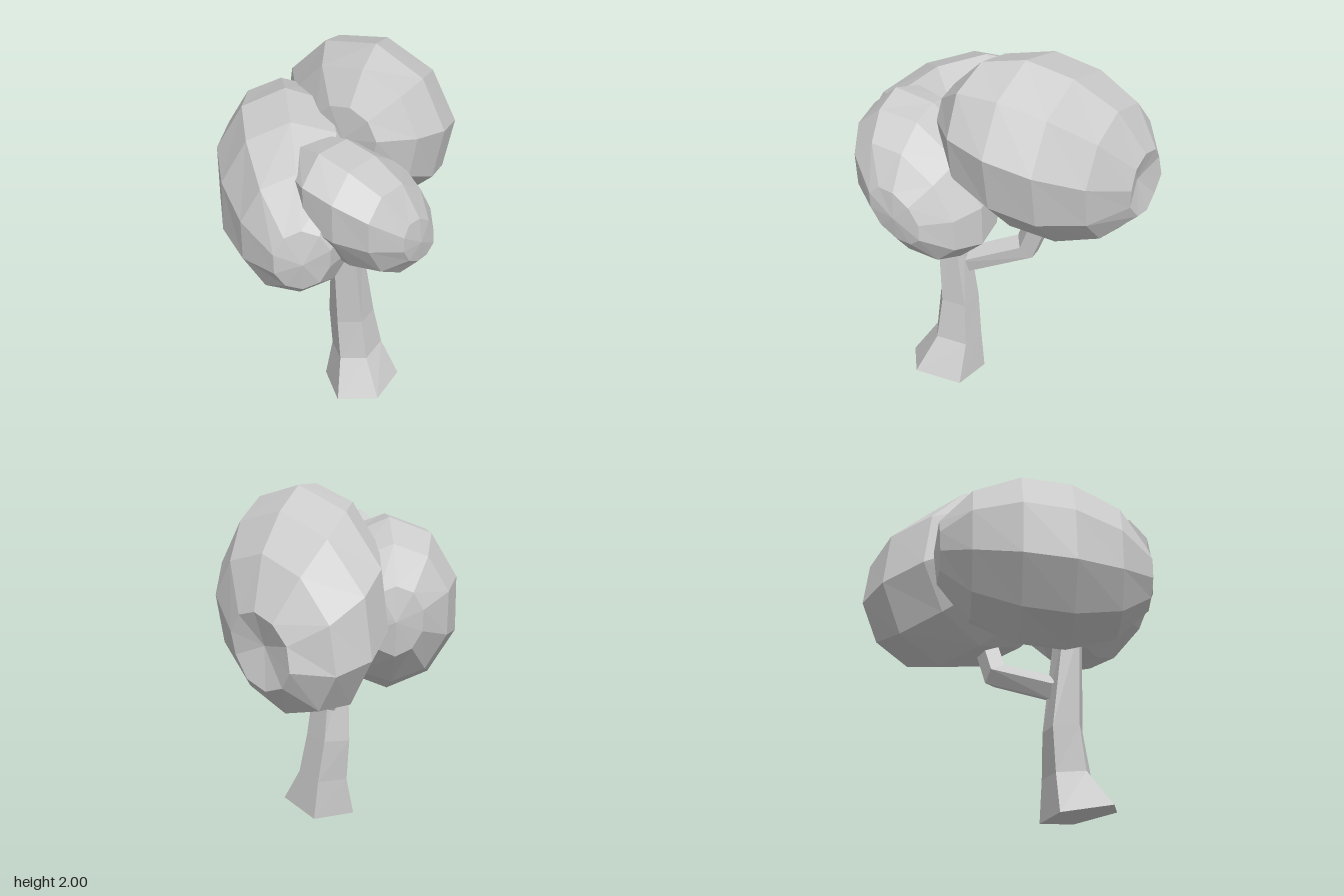
import * as THREE from 'three';

const V = (x, y, z) => new THREE.Vector3(x, y, z);
const material = new THREE.MeshStandardMaterial({ color: 0xcccccc, flatShading: true });

// Faceted skin over a list of rings, closed at both ends by fans to a tip point
function loft(name, rings, startTip, endTip) {
  const pos = [];
  const tri = (...pts) => pts.forEach((p) => pos.push(p.x, p.y, p.z));
  const n = rings[0].length;
  const last = rings.length - 1;
  for (let j = 0; j < n; j++) {
    const k = (j + 1) % n;
    for (let i = 0; i < last; i++) {
      tri(rings[i][j], rings[i][k], rings[i + 1][k]);
      tri(rings[i][j], rings[i + 1][k], rings[i + 1][j]);
    }
    tri(startTip, rings[0][k], rings[0][j]);
    tri(endTip, rings[last][j], rings[last][k]);
  }
  const geo = new THREE.BufferGeometry();
  geo.setAttribute('position', new THREE.Float32BufferAttribute(pos, 3));
  geo.computeVertexNormals();
  const mesh = new THREE.Mesh(geo, material);
  mesh.name = name;
  return mesh;
}

const centroid = (ring) => ring.reduce((s, p) => s.add(p), V(0, 0, 0)).divideScalar(ring.length);

// Leaf mass: slanted ten-sided egg given by its centre, two side half-axes and an axis to each pole
function crown(name, centre, u, v, startPole, endPole, { phase, tip, seed }) {
  let s = seed;
  const jitter = () => {
    s = (s * 16807) % 2147483647;
    return 1.03 + 0.03 * (s / 2147483647 - 0.5);
  };
  const at = (phi, theta, k) => centre.clone()
    .addScaledVector(phi < Math.PI / 2 ? startPole : endPole, Math.abs(Math.cos(phi)) * k)
    .addScaledVector(u, Math.sin(phi) * Math.cos(theta) * k)
    .addScaledVector(v, Math.sin(phi) * Math.sin(theta) * k);
  const rings = [22, 50, 77, 103, 130, 158].map((deg) =>
    Array.from({ length: 10 }, (_, j) =>
      at(THREE.MathUtils.degToRad(deg), ((j + phase) / 10) * Math.PI * 2, jitter())));
  return loft(name, rings, at(0, 0, 1), at(Math.PI, 0, tip));
}

export function createModel() {
  const tree = new THREE.Group();
  tree.name = 'tree';

  // Five-sided trunk with a flared, slightly tilted foot
  const trunk = [
    [[-0.3, 0.085, 0.44], [-0.04, 0.06, 0.4], [-0.015, 0.01, 0.14], [-0.24, 0.005, 0.03], [-0.42, 0.06, 0.25]],
    [[-0.23, 0.27, 0.31], [-0.055, 0.26, 0.29], [-0.04, 0.24, 0.13], [-0.2, 0.23, 0.05], [-0.3, 0.25, 0.18]],
    [[-0.215, 0.51, 0.265], [-0.08, 0.5, 0.25], [-0.068, 0.49, 0.105], [-0.2, 0.48, 0.03], [-0.285, 0.5, 0.15]],
    [[-0.25, 1.05, 0.235], [-0.165, 1.05, 0.22], [-0.145, 1.05, 0.115], [-0.24, 1.05, 0.08], [-0.305, 1.05, 0.14]],
  ].map((ring) => ring.map((p) => V(...p)));
  tree.add(loft('trunk', trunk, centroid(trunk[0]), centroid(trunk[3])));

  // Bent side branch; each joint has a centre and a mitre direction
  const branch = [
    [V(-0.16, 0.72, 0.13), V(-0.4, 0.92, 0)],
    [V(0.2, 0.875, 0.03), V(-0.8, 0.72, 0)],
    [V(0.3, 1.16, 0.025), V(-0.95, 0.32, 0)],
  ].map(([c, m]) => Array.from({ length: 5 }, (_, j) => {
    const a = (j / 5) * Math.PI * 2;
    return c.clone().addScaledVector(m, 0.073 * Math.cos(a)).add(V(0, 0, 0.068 * Math.sin(a)));
  }));
  tree.add(loft('sideBranch', branch, centroid(branch[0]), centroid(branch[2])));

  // Three overlapping leaf masses; the large one is dimpled at its outer pole
  tree.add(crown('largeCrown', V(0.3, 1.46, -0.085),
    V(0, 0.5, 0.09), V(-0.02, 0, 0.53),
    V(-0.5, 0.2, 0.21), V(0.485, -0.16, -0.14), { phase: 0, tip: 0.86, seed: 11 }));
  tree.add(crown('rearCrown', V(-0.29, 1.34, -0.15),
    V(0, 0.475, 0), V(0.27, 0, 0.27),
    V(-0.425, -0.09, 0.41), V(0.425, 0.04, -0.41), { phase: 0, tip: 1, seed: 29 }));
  tree.add(crown('frontCrown', V(-0.26, 1.35, 0.285),
    V(0.31, -0.345, 0), V(0.215, 0.195, 0),
    V(0, 0.08, -0.37), V(0, -0.06, 0.37), { phase: 0.5, tip: 1, seed: 53 }));

  return tree;
}
